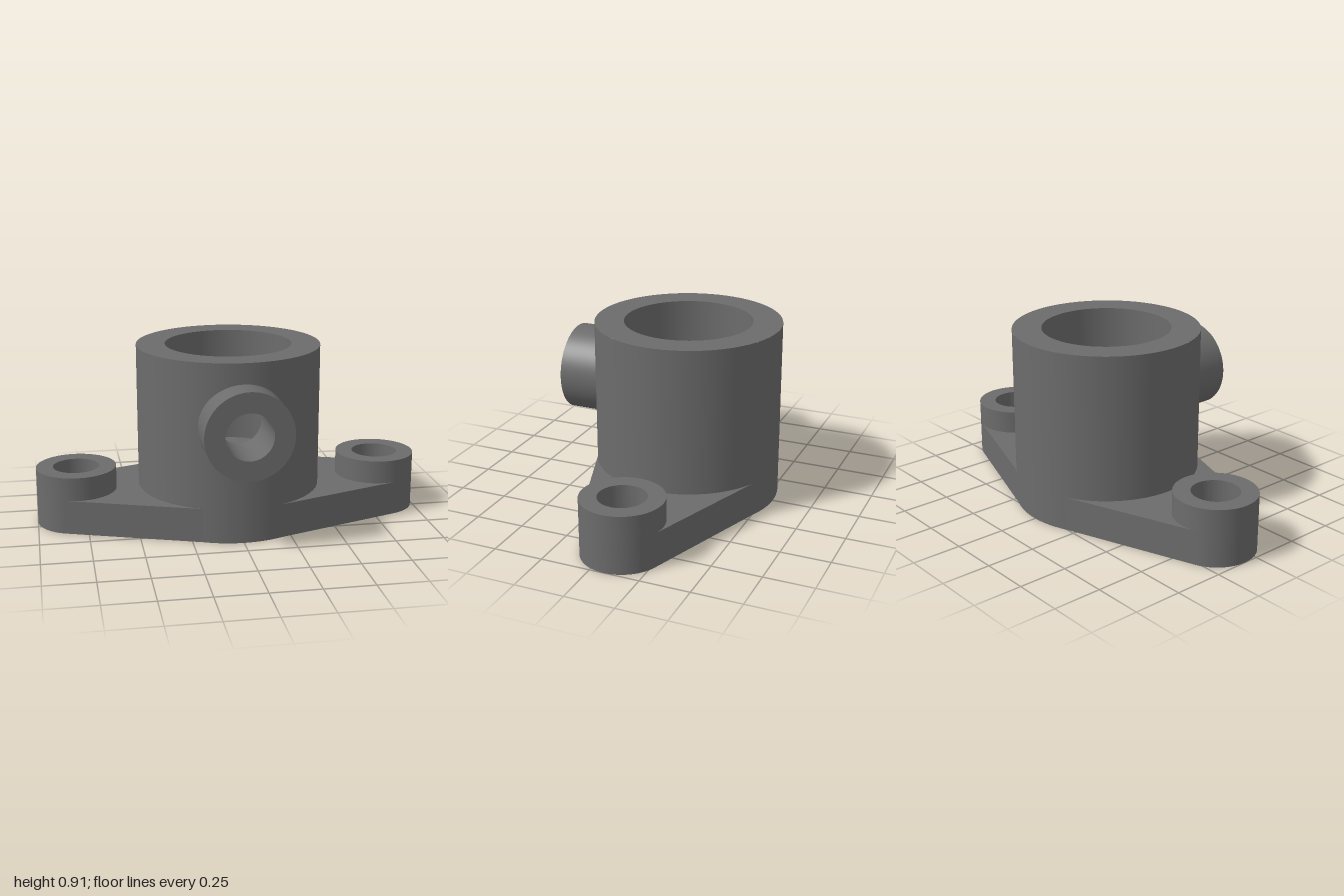
import * as THREE from 'three';
import { toCreasedNormals } from 'three/addons/utils/BufferGeometryUtils.js';
import { ParametricGeometry } from 'three/addons/geometries/ParametricGeometry.js';

const R = 0.471, BORE = 0.324, DRAIN = 0.205;             // barrel radii
const BASE = 0.175, FLOOR = 0.31, TOP = 0.913;            // plate top, bore floor, barrel top
const LUG_X = 0.795, LUG_R = 0.205, LUG_TOP = 0.295, BOLT = 0.119;
const PORT_Y = 0.589, PORT_R = 0.22, PORT_HOLE = 0.118, PORT_Z = 0.619;

export function createModel() {
  const model = new THREE.Group();
  const body = new THREE.Group();
  body.name = 'flangedHousing';
  body.position.z = -0.074;
  model.add(body);
  const material = new THREE.MeshStandardMaterial({ color: 0x6c6c6c });

  const add = (name, geometry) => {
    const mesh = new THREE.Mesh(geometry, material);
    mesh.name = name;
    body.add(mesh);
  };
  const hole = (x, r) => new THREE.Path().absarc(x, 0, r, 0, Math.PI * 2, true);
  // Extrude a plan outline upward from y0 to y1
  const slab = (shape, y0, y1) => {
    const g = new THREE.ExtrudeGeometry(shape, { depth: y1 - y0, bevelEnabled: false, curveSegments: 40 });
    g.rotateX(-Math.PI / 2).translate(0, y0, 0);
    return toCreasedNormals(g, 0.5);
  };
  const ringSlab = (x, outer, inner, y0, y1) => {
    const ring = new THREE.Shape().absarc(x, 0, outer, 0, Math.PI * 2, false);
    ring.holes.push(hole(x, inner));
    return slab(ring, y0, y1);
  };
  // Parametric surface; flip turns it inside out
  const surface = (fn, flip, nu, nv) =>
    new ParametricGeometry((u, v, p) => fn(flip ? 1 - u : u, v, p), nu, nv);

  // Flange plate: three circles joined by tangents, the middle one just inside the barrel
  const a = Math.acos((R - LUG_R) / LUG_X), mid = R - 0.002;
  const outline = new THREE.Shape();
  outline.absarc(LUG_X, 0, LUG_R, -a, a, false);
  outline.absarc(0, 0, mid, a, Math.PI - a, false);
  outline.absarc(-LUG_X, 0, LUG_R, Math.PI - a, Math.PI + a, false);
  outline.absarc(0, 0, mid, Math.PI + a, Math.PI * 2 - a, false);
  outline.holes.push(hole(0, DRAIN), hole(LUG_X, BOLT), hole(-LUG_X, BOLT));
  add('flangePlate', slab(outline, 0, BASE));

  // Raised bolt bosses and the thick bore floor around the drain hole
  add('leftBoltBoss', ringSlab(LUG_X, LUG_R, BOLT, BASE, LUG_TOP));
  add('rightBoltBoss', ringSlab(-LUG_X, LUG_R, BOLT, BASE, LUG_TOP));
  add('boreFloor', ringSlab(0, BORE, DRAIN, BASE, FLOOR));

  // Cylinder wall with a round opening at the front:
  // a plain arc around the back plus a front patch running from circle to rectangle
  const wall = (name, r, open, w, bottom, inward) => {
    const gap = Math.asin(w / r);
    add(name, surface((u, v, p) => {
      const t = gap + u * (Math.PI * 2 - 2 * gap);
      p.set(r * Math.sin(t), bottom + v * (TOP - bottom), r * Math.cos(t));
    }, inward, 80, 1));
    add(name + 'Front', surface((u, v, p) => {
      const t = u * Math.PI * 2, c = Math.cos(t), s = Math.sin(t);
      const k = 1 / Math.max(Math.abs(c), Math.abs(s));
      const edgeY = s * k * (s > 0 ? TOP - PORT_Y : PORT_Y - bottom);
      const x = THREE.MathUtils.lerp(open * c, w * c * k, v);
      const y = PORT_Y + THREE.MathUtils.lerp(open * s, edgeY, v);
      p.set(x, y, Math.sqrt(r * r - x * x));
    }, !inward, 96, 12));
  };
  wall('barrelWall', R, PORT_R, 0.32, 0, false);
  wall('boreWall', BORE, PORT_HOLE, 0.2, FLOOR, true);
  add('barrelRim', new THREE.RingGeometry(BORE, R, 96).rotateX(-Math.PI / 2).translate(0, TOP, 0));

  // Side port: tubes that start on the curved walls
  const tube = (name, r, wallR, inward) => add(name, surface((u, v, p) => {
    const t = u * Math.PI * 2, x = r * Math.cos(t);
    const z0 = Math.sqrt(wallR * wallR - x * x);
    p.set(x, PORT_Y + r * Math.sin(t), THREE.MathUtils.lerp(z0, PORT_Z, v));
  }, inward, 96, 1));
  tube('portOuter', PORT_R, R, false);
  tube('portHole', PORT_HOLE, BORE, true);
  add('portFace', new THREE.RingGeometry(PORT_HOLE, PORT_R, 96).translate(0, PORT_Y, PORT_Z));

  return model;
}
